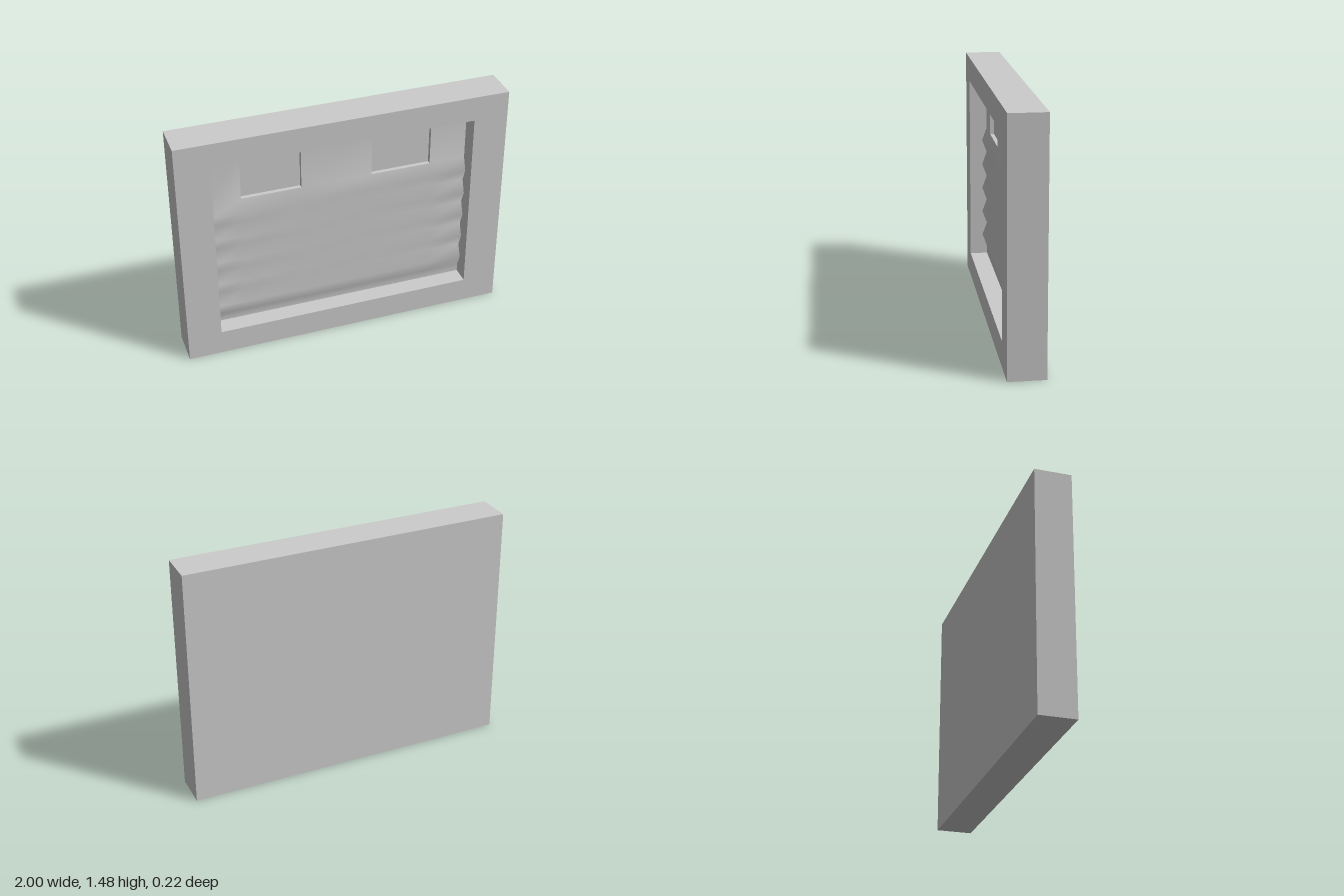
import * as THREE from 'three';

const material = new THREE.MeshStandardMaterial({ color: 0xcccccc });

// Outer size, door opening and depths
const W = 2, H = 1.475, FRONT = 0.11;
const OPEN = { x0: -0.795, x1: 0.79, y0: 0.155, y1: 1.322 };
const DOOR_Z = 0, RIDGE = 0.03, PANE_DEPTH = 0.025;
const WIN_Y0 = 1.01, WIN_Y1 = 1.31;
const WINDOWS = [[-0.605, -0.24], [0.195, 0.565]];

function addMesh(group, name, geometry) {
  const mesh = new THREE.Mesh(geometry, material);
  mesh.name = name;
  group.add(mesh);
}

// Box between two z planes with chosen faces left out
// (face order: +x, -x, +y, -y, +z, -z); inward turns it into a recess
function openBox(r, z0, z1, skip, inward) {
  const g = new THREE.BoxGeometry(r.x1 - r.x0, r.y1 - r.y0, z1 - z0);
  g.translate((r.x0 + r.x1) / 2, (r.y0 + r.y1) / 2, (z0 + z1) / 2);
  const src = Array.from(g.index.array);
  const index = [];
  for (let f = 0; f < 6; f++) {
    if (skip.includes(f)) continue;
    const face = src.slice(f * 6, f * 6 + 6);
    index.push(...(inward ? face.reverse() : face));
  }
  g.setIndex(index);
  g.clearGroups();
  if (inward) {
    const n = g.attributes.normal;
    for (let i = 0; i < n.count; i++) n.setXYZ(i, -n.getX(i), -n.getY(i), -n.getZ(i));
  }
  return g;
}

function rectPath(path, r) {
  path.moveTo(r.x0, r.y0);
  path.lineTo(r.x1, r.y0);
  path.lineTo(r.x1, r.y1);
  path.lineTo(r.x0, r.y1);
  path.closePath();
  return path;
}

// Door sheet: ridged rows below, flat rows above with cells left out for the windows
function doorGeometry() {
  const xs = [OPEN.x0, ...WINDOWS.flat(), OPEN.x1];
  const rows = [[OPEN.y0, DOOR_Z]];
  const first = 0.205, ridges = 5;
  const step = (WIN_Y0 - first) / (ridges * 2);
  for (let i = 0; i <= ridges * 2; i++) {
    rows.push([first + i * step, DOOR_Z + (i % 2 ? RIDGE : 0)]);
  }
  const windowRow = rows.length - 1;
  rows.push([WIN_Y1, DOOR_Z], [OPEN.y1, DOOR_Z]);

  const positions = [], index = [], n = xs.length;
  for (const [y, z] of rows) for (const x of xs) positions.push(x, y, z);
  for (let j = 0; j < rows.length - 1; j++) {
    for (let i = 0; i < n - 1; i++) {
      if (j === windowRow && i % 2 === 1) continue;
      const a = j * n + i, b = a + 1, c = b + n, d = a + n;
      index.push(a, b, c, a, c, d);
    }
  }
  const g = new THREE.BufferGeometry();
  g.setAttribute('position', new THREE.Float32BufferAttribute(positions, 3));
  g.setIndex(index);
  g.computeVertexNormals();
  return g;
}

export function createModel() {
  const group = new THREE.Group();
  group.name = 'garageDoorWall';

  // Wall: closed shell, front face pierced by the opening
  const outer = { x0: -W / 2, x1: W / 2, y0: 0, y1: H };
  addMesh(group, 'wallShell', openBox(outer, -FRONT, FRONT, [4], false));
  const face = rectPath(new THREE.Shape(), outer);
  face.holes.push(rectPath(new THREE.Path(), OPEN));
  addMesh(group, 'wallFront', new THREE.ShapeGeometry(face).translate(0, 0, FRONT));
  addMesh(group, 'openingReveal', openBox(OPEN, DOOR_Z, FRONT, [4, 5], true));

  // Ridged door
  addMesh(group, 'door', doorGeometry());

  // Sunken window panes
  WINDOWS.forEach(([x0, x1], i) => {
    const r = { x0, x1, y0: WIN_Y0, y1: WIN_Y1 };
    addMesh(group, i ? 'leftWindow' : 'rightWindow',
      openBox(r, DOOR_Z - PANE_DEPTH, DOOR_Z, [4], true));
  });

  return group;
}
